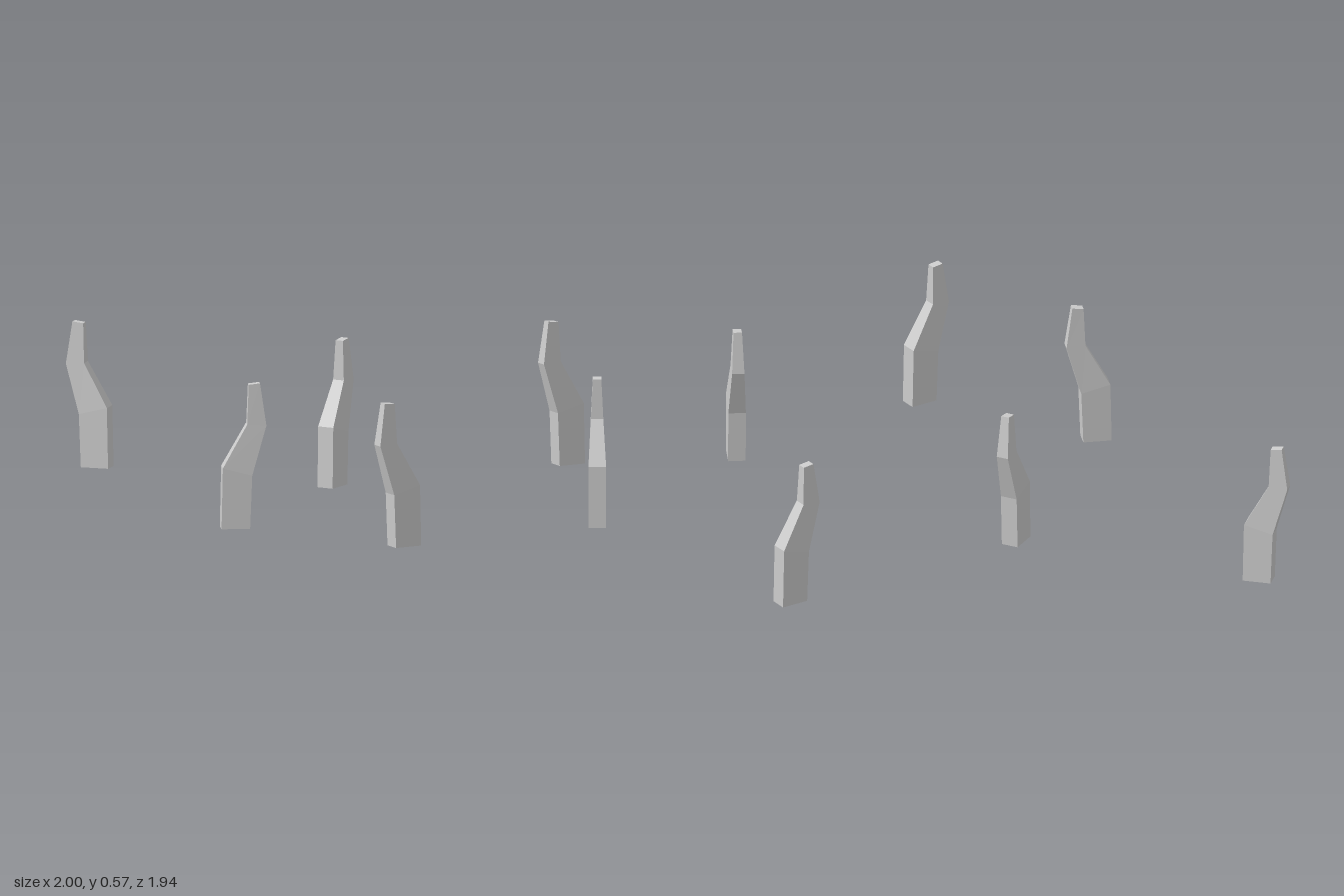
import * as THREE from 'three';

// Cross-sections from foot to tip: [heel x, heel y, toe x, toe y, width]
const SECTIONS = [
  [-0.056, 0, 0.055, 0, 0.068],
  [-0.051, 0.238, 0.063, 0.208, 0.068],
  [0.045, 0.408, 0.119, 0.402, 0.048],
  [0.051, 0.562, 0.095, 0.567, 0.033],
];

// Foot centre x, z and the direction x, z in which each post leans
const POSTS = [
  [-0.879, -0.902, -0.155, -0.069],
  [0.937, -0.787, -0.163, 0.069],
  [-0.016, -0.4, 0.101, -0.136],
  [-0.48, 0.455, 1, 0],
  [0.916, 0.545, 0.016, -0.174],
  [0.131, 0.903, -0.161, 0.07],
];

// A box with three storeys, its rings moved onto the cross-sections
function postGeometry() {
  const geometry = new THREE.BoxGeometry(1, 3, 1, 1, 3, 1);
  const p = geometry.attributes.position;
  for (let i = 0; i < p.count; i++) {
    const [heelX, heelY, toeX, toeY, width] = SECTIONS[Math.round(p.getY(i) + 1.5)];
    const toe = p.getX(i) > 0;
    p.setXYZ(i, toe ? toeX : heelX, toe ? toeY : heelY, Math.sign(p.getZ(i)) * width / 2);
  }
  geometry.computeVertexNormals();
  return geometry;
}

export function createModel() {
  const group = new THREE.Group();
  group.name = 'bentPosts';
  const geometry = postGeometry();
  const material = new THREE.MeshStandardMaterial({ color: 0xcccccc, flatShading: true });

  POSTS.forEach(([x, z, dx, dz], i) => {
    const post = new THREE.Mesh(geometry, material);
    post.name = `bentPost${i + 1}`;
    post.position.set(x, 0, z);
    post.rotation.y = Math.atan2(-dz, dx);
    group.add(post);
  });
  return group;
}
